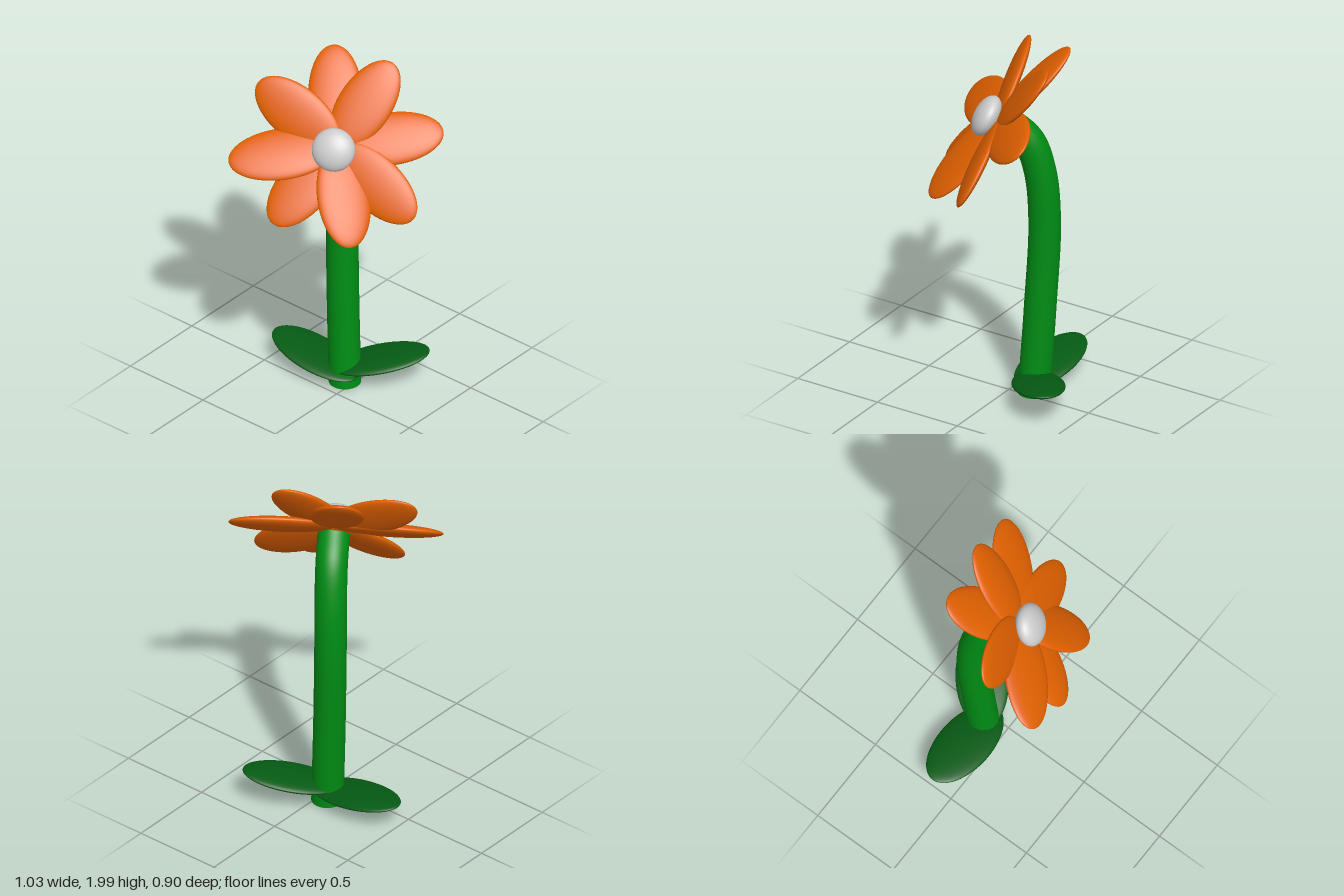
import * as THREE from 'three';

const V = (x, y, z) => new THREE.Vector3(x, y, z);
const paint = (color) => new THREE.MeshStandardMaterial({ color });

// Flattened ellipsoid running from base to tip, its flat side facing the given
// direction, then twisted about its own length
function blade(name, base, tip, facing, twist, halfWidth, halfThick, material) {
  const along = tip.clone().sub(base);
  const length = along.length();
  along.normalize();
  const across = along.clone().cross(facing).normalize();
  const normal = across.clone().cross(along);
  const mesh = new THREE.Mesh(new THREE.SphereGeometry(1, 40, 28), material);
  mesh.name = name;
  mesh.scale.set(halfWidth, length / 2, halfThick);
  mesh.quaternion.setFromRotationMatrix(new THREE.Matrix4().makeBasis(across, along, normal));
  mesh.rotateY(twist);
  mesh.position.copy(base).lerp(tip, 0.5);
  return mesh;
}

export function createModel() {
  const model = new THREE.Group();
  model.name = 'flower';
  const leafGreen = paint(0x055a14);
  const orange = paint(0xe06000);

  // Stem: open, bowed tube bending forward to the head
  const path = new THREE.CatmullRomCurve3([
    V(-0.05, 0, -0.125), V(-0.08, 0.5, -0.145), V(-0.1, 1, -0.16),
    V(-0.085, 1.3, -0.14), V(-0.05, 1.48, -0.09), V(0.015, 1.59, 0.005),
  ]);
  const stemGreen = paint(0x008c14);
  stemGreen.side = THREE.DoubleSide;
  const stem = new THREE.Mesh(new THREE.TubeGeometry(path, 60, 0.086, 32), stemGreen);
  stem.name = 'stem';
  // Keep the foot flat on the ground
  for (let i = 0; i <= 32; i++) stem.geometry.attributes.position.setY(i, 0);
  model.add(stem);

  // Two leaves at the foot
  const up = V(0, 1, 0);
  model.add(blade('rightLeaf', V(0.04, 0.055, -0.105), V(-0.515, 0.14, -0.11), up, 0, 0.143, 0.03, leafGreen));
  model.add(blade('leftLeaf', V(-0.1, 0.085, -0.08), V(0.29, 0.19, -0.415), up, 0, 0.14, 0.03, leafGreen));

  // Ring of eight petals, each leaning and twisted a little differently: tip x, y, z, twist
  const heart = V(0.04, 1.605, 0.044);
  const facing = V(0.45, 0.64, 0.62).normalize();
  const tips = [
    [-0.225, 1.99, -0.24, 0], [0.12, 1.985, -0.315, 0], [0.44, 1.67, -0.35, -0.1], [0.51, 1.31, -0.02, 0.2],
    [0.33, 1.205, 0.28, -0.25], [-0.08, 1.26, 0.43, 0.1], [-0.375, 1.53, 0.44, 0.2], [-0.415, 1.87, 0.15, -0.25],
  ];
  const petals = new THREE.Group();
  petals.name = 'petals';
  tips.forEach(([x, y, z, twist], i) => {
    petals.add(blade(`petal${i + 1}`, heart, V(x, y, z), facing, twist, 0.143, 0.034, orange));
  });
  model.add(petals);

  // Flower centre: a flattened button
  const centre = new THREE.Mesh(new THREE.SphereGeometry(1, 40, 28), paint(0xcccccc));
  centre.name = 'flowerCentre';
  centre.scale.set(0.116, 0.116, 0.065);
  centre.position.set(0.062, 1.62, 0.1);
  centre.quaternion.setFromUnitVectors(V(0, 0, 1), V(0.42, 0.49, 0.77).normalize());
  model.add(centre);

  return model;
}
